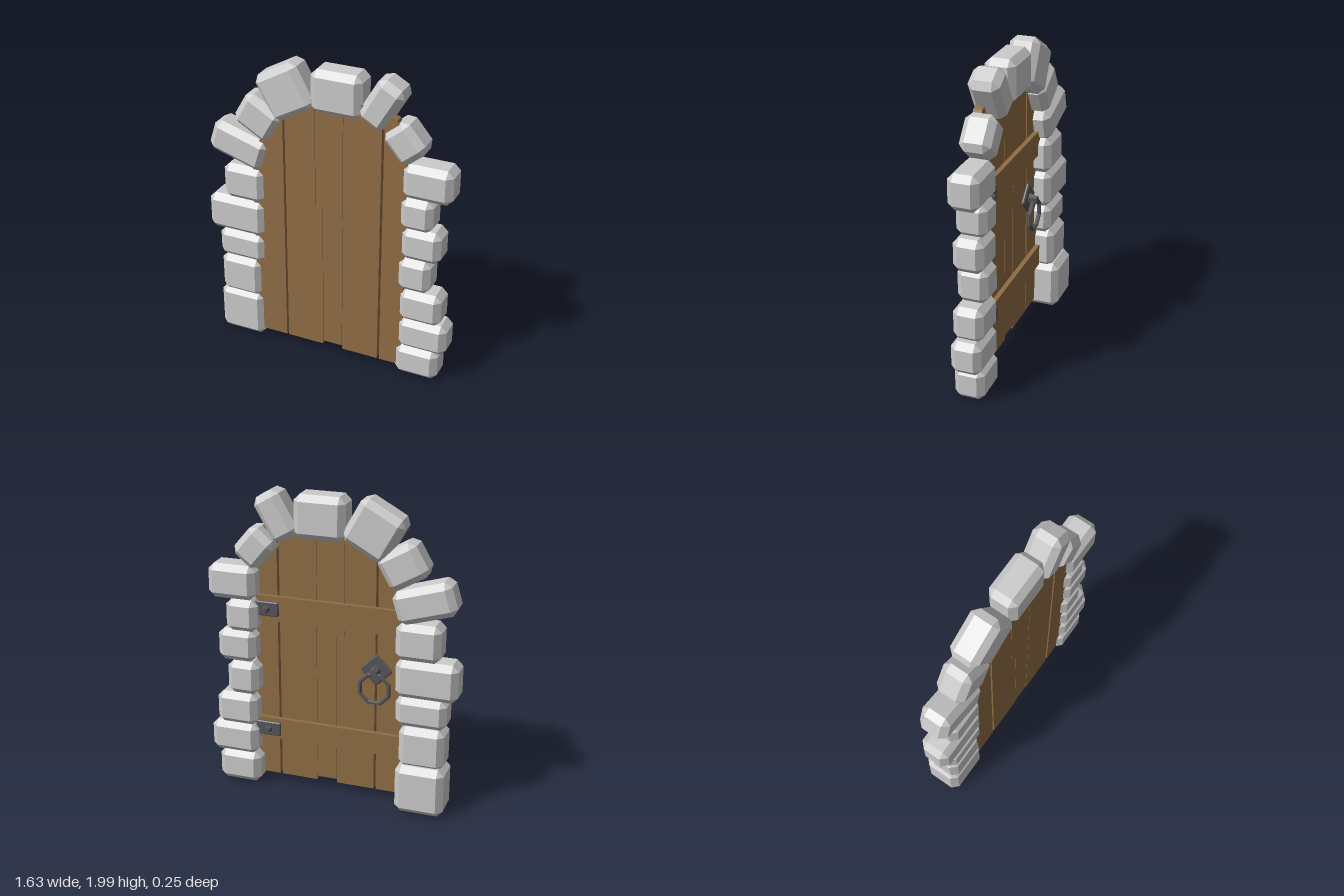
import * as THREE from 'three';
import { ConvexGeometry } from 'three/addons/geometries/ConvexGeometry.js';

const material = (color) => new THREE.MeshStandardMaterial({ color, flatShading: true });

// Box with every edge chamfered by c
function chamferedBox(w, h, d, c) {
  const points = [];
  const x = w / 2, y = h / 2, z = d / 2;
  for (const sx of [-1, 1]) for (const sy of [-1, 1]) for (const sz of [-1, 1]) {
    points.push(
      new THREE.Vector3(sx * x, sy * (y - c), sz * (z - c)),
      new THREE.Vector3(sx * (x - c), sy * y, sz * (z - c)),
      new THREE.Vector3(sx * (x - c), sy * (y - c), sz * z));
  }
  return new ConvexGeometry(points);
}

export function createModel() {
  const model = new THREE.Group();
  const stoneMat = material(0xcccccc);
  const woodMat = material(0x8f6d44);
  const iron = material(0x55565a);

  function add(parent, name, geometry, mat, x, y, z) {
    const mesh = new THREE.Mesh(geometry, mat);
    mesh.name = name;
    mesh.position.set(x, y, z);
    parent.add(mesh);
    return mesh;
  }
  function group(name) {
    const g = new THREE.Group();
    g.name = name;
    model.add(g);
    return g;
  }

  // Stone surround: centre x, centre y, width, height, turn in degrees, back z
  const FRONT = 0.117, BACK = -0.077;
  const stones = [
    [-0.607, 0.168, 0.315, 0.325, 0, -0.13],
    [-0.605, 0.445, 0.29, 0.275, 0, -0.092],
    [-0.592, 0.677, 0.325, 0.2, 0],
    [-0.622, 0.895, 0.395, 0.25, 0],
    [-0.563, 1.135, 0.285, 0.24, 0],
    [-0.595, 1.39, 0.38, 0.215, -17],
    [-0.455, 1.605, 0.27, 0.235, -30],
    [-0.272, 1.805, 0.31, 0.31, 29],
    [0.065, 1.853, 0.33, 0.275, 0],
    [0.347, 1.837, 0.31, 0.185, 60],
    [0.495, 1.625, 0.235, 0.2, -50],
    [0.648, 1.392, 0.315, 0.225, 0],
    [0.587, 1.175, 0.21, 0.215, 0],
    [0.622, 0.972, 0.255, 0.215, 0],
    [0.586, 0.752, 0.212, 0.225, 0],
    [0.633, 0.53, 0.275, 0.22, 0],
    [0.655, 0.322, 0.32, 0.215, 0],
    [0.623, 0.118, 0.285, 0.215, 0],
  ];
  const surround = group('stoneSurround');
  for (const [x, y, w, h, turn, back = BACK] of stones) {
    const block = add(surround, 'stone', chamferedBox(w, h, FRONT - back, 0.04),
      stoneMat, x, y, (FRONT + back) / 2);
    block.rotation.z = THREE.MathUtils.degToRad(turn);
  }

  // Door planks, cut to the arch at the top
  const planks = [
    [[-0.5, 0.06], [-0.287, 0.06], [-0.287, 1.68], [-0.4, 1.54], [-0.5, 1.36]],
    [[-0.273, 0.06], [-0.024, 0.06], [-0.024, 1.08], [-0.074, 1.08], [-0.074, 1.8], [-0.273, 1.72]],
    [[-0.021, 0.085], [0.109, 0.085], [0.109, 1.82], [-0.071, 1.8], [-0.071, 1.082], [-0.021, 1.082]],
    [[0.112, 0.06], [0.356, 0.06], [0.356, 1.8], [0.25, 1.82], [0.112, 1.82]],
    [[0.371, 0.06], [0.52, 0.06], [0.52, 1.6], [0.45, 1.765], [0.371, 1.79]],
  ];
  const door = group('door');
  for (const outline of planks) {
    const shape = new THREE.Shape(outline.map(([x, y]) => new THREE.Vector2(x, y)));
    const geometry = new THREE.ExtrudeGeometry(shape, { depth: 0.055, bevelEnabled: false });
    add(door, 'plank', geometry, woodMat, 0, 0, 0.03);
  }

  // Cross bars with a hinge plate and stud on the back
  for (const [y, height] of [[1.228, 0.165], [0.4, 0.145]]) {
    add(door, 'crossBar', new THREE.BoxGeometry(0.96, height, 0.03), woodMat, 0.02, y, 0.015);
    add(door, 'hingePlate', chamferedBox(0.17, 0.095, 0.02, 0.006), iron, 0.435, y, -0.007);
    const stud = add(door, 'hingeStud', new THREE.CylinderGeometry(0.014, 0.026, 0.022, 6),
      iron, 0.43, y, -0.027);
    stud.rotation.x = -Math.PI / 2;
  }

  // Pull ring hanging from a diamond plate
  const handle = group('handle');
  handle.position.set(-0.285, 0.9, 0);
  const plate = add(handle, 'handlePlate', chamferedBox(0.15, 0.15, 0.024, 0.008), iron, 0, 0, 0.02);
  plate.rotation.z = Math.PI / 4;
  const knob = add(handle, 'handleKnob', new THREE.CylinderGeometry(0.022, 0.036, 0.06, 6),
    iron, 0, 0, -0.015);
  knob.rotation.x = -Math.PI / 2;
  const ring = add(handle, 'pullRing', new THREE.TorusGeometry(0.1, 0.014, 6, 8), iron, 0, -0.11, -0.025);
  ring.rotation.z = Math.PI / 8;

  return model;
}
